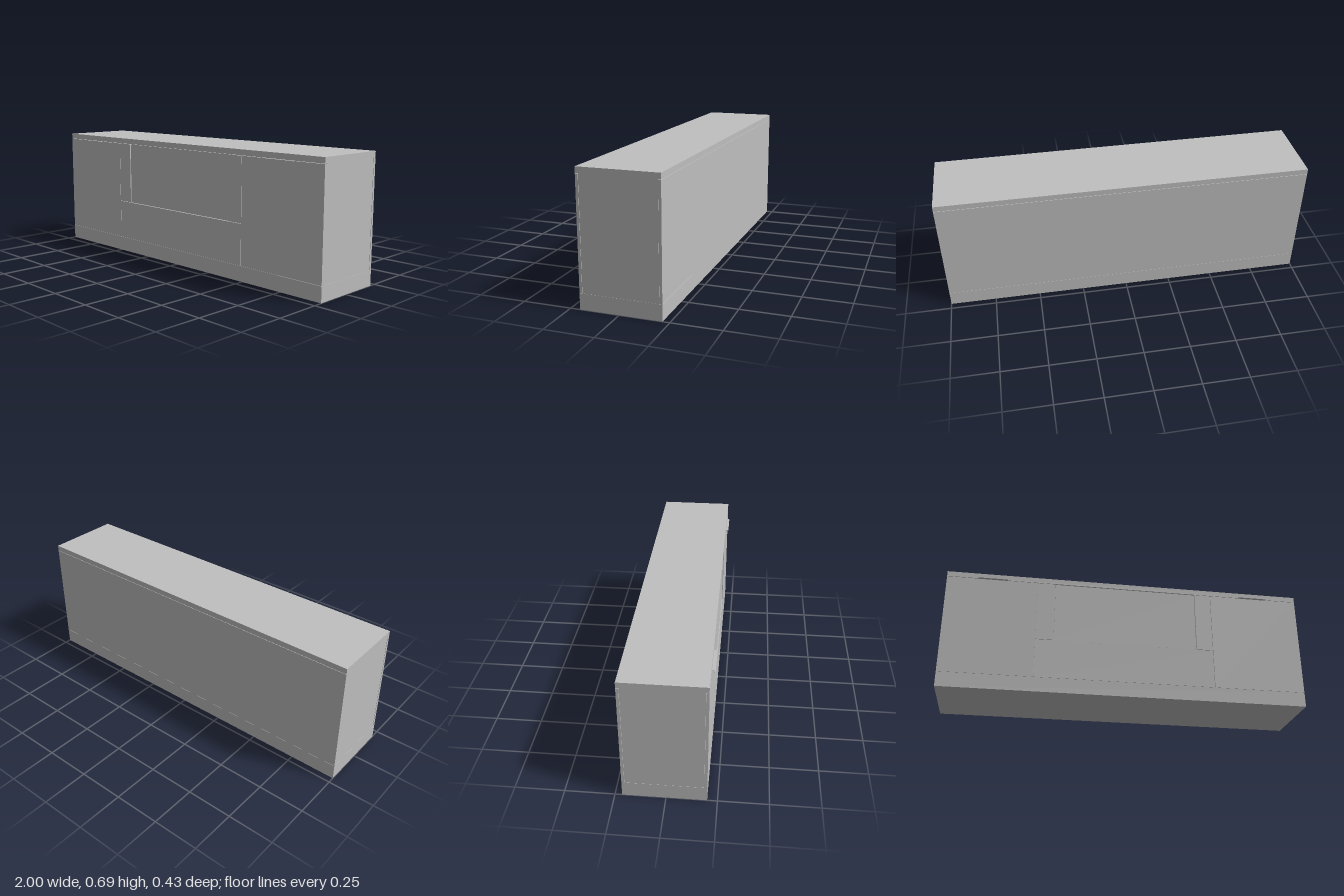
import * as THREE from 'three';

export function createModel() {
  const model = new THREE.Group();
  model.name = 'sideboard';
  const grey = new THREE.MeshStandardMaterial({ color: 0xbfbfbf });
  grey.name = 'grey';

  // Box given by its extents on each axis
  function panel(name, [x0, x1], [y0, y1], [z0, z1]) {
    const mesh = new THREE.Mesh(new THREE.BoxGeometry(x1 - x0, y1 - y0, z1 - z0), grey);
    mesh.position.set((x0 + x1) / 2, (y0 + y1) / 2, (z0 + z1) / 2);
    mesh.name = name;
    model.add(mesh);
  }

  const width = [-1, 1];
  const depth = [-0.215, 0.2];
  const body = [0.083, 0.653];
  const front = [0.186, 0.2];

  // Plinth, carcass, back and worktop
  panel('plinth', width, [0, 0.082], depth);
  panel('carcass', [-0.999, 0.999], [0.082, 0.655], [-0.2, 0.185]);
  panel('backPanel', width, body, [-0.215, -0.201]);
  panel('worktop', width, [0.655, 0.685], depth);

  // Doors on both ends
  panel('rightDoor', [-1, -0.501], body, front);
  panel('leftDoor', [0.491, 1], body, front);

  // Middle section: drawer below, slightly sunk panel between two posts
  panel('drawerFront', [-0.499, 0.489], [0.083, 0.304], front);
  panel('rightPost', [-0.499, -0.403], [0.306, 0.653], front);
  panel('leftPost', [0.397, 0.489], [0.306, 0.653], front);
  panel('centrePanel', [-0.401, 0.395], [0.306, 0.653], [0.185, 0.196]);

  // Thin pull plates at the top of the doors
  for (const [name, x] of [['rightHandle', -0.75], ['leftHandle', 0.74]]) {
    panel(name, [x - 0.083, x + 0.083], [0.652, 0.6545], [0.186, 0.215]);
  }
  return model;
}
